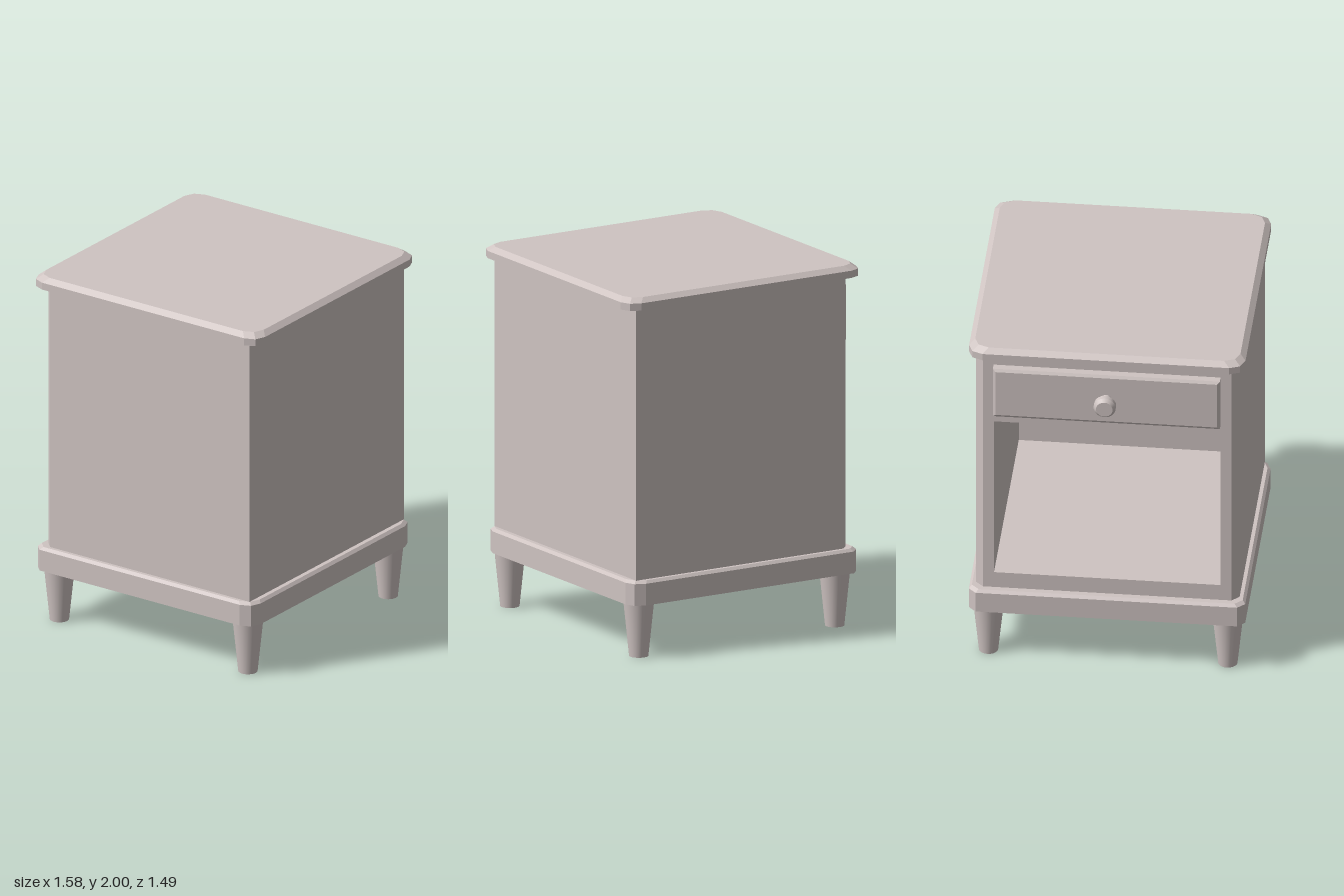
import * as THREE from 'three';

// Outline of a rectangle in x/z; rBack rounds the +x corners, rFront cuts the -x ones
function outline(x0, x1, zh, rBack, rFront, segBack, segFront) {
  const pts = [];
  const corners = [[x1, zh, 1, 1], [x0, zh, -1, 1], [x0, -zh, -1, -1], [x1, -zh, 1, -1]];
  corners.forEach(([x, z, sx, sz], k) => {
    const r = sx > 0 ? rBack : rFront;
    const seg = r === 0 ? 0 : (sx > 0 ? segBack : segFront);
    for (let i = 0; i <= seg; i++) {
      const a = (k + (seg ? i / seg : 0.5)) * Math.PI / 2;
      pts.push([x - sx * r + r * Math.cos(a), z - sz * r + r * Math.sin(a)]);
    }
  });
  return pts;
}

// Flat-faced wall through stacked outlines [{y, pts}], optionally closed with caps
function loft(rings, closed = true) {
  const pos = [];
  const put = (r, i) => {
    const p = r.pts[i % r.pts.length];
    pos.push(p[0], r.y, p[1]);
  };
  const n = rings[0].pts.length;
  for (let k = 0; k < rings.length - 1; k++) {
    const a = rings[k], b = rings[k + 1];
    for (let i = 0; i < (closed ? n : n - 1); i++) {
      put(a, i); put(b, i); put(b, i + 1);
      put(a, i); put(b, i + 1); put(a, i + 1);
    }
  }
  if (closed) {
    const lo = rings[0], hi = rings[rings.length - 1];
    for (let i = 1; i < n - 1; i++) {
      put(lo, 0); put(lo, i); put(lo, i + 1);
      put(hi, 0); put(hi, i + 1); put(hi, i);
    }
  }
  const g = new THREE.BufferGeometry();
  g.setAttribute('position', new THREE.Float32BufferAttribute(pos, 3));
  g.computeVertexNormals();
  return g;
}

// Slab with a chamfered upper rim
function slab(x0, x1, zh, y0, yEdge, y1, inset, corner) {
  const full = outline(x0, x1, zh, ...corner);
  const small = outline(x0 + inset, x1 - inset, zh - inset, ...corner);
  return loft([{ y: y0, pts: full }, { y: yEdge, pts: full }, { y: y1, pts: small }]);
}

export function createModel() {
  const group = new THREE.Group();
  const paint = new THREE.MeshStandardMaterial({ color: 0xcfc4c2 });
  paint.name = 'palePaint';
  const add = (name, geometry) => {
    const mesh = new THREE.Mesh(geometry, paint);
    mesh.name = name;
    group.add(mesh);
    return mesh;
  };

  // Table top and plinth
  add('tableTop', slab(-0.71, 0.785, 0.745, 1.935, 1.975, 2, 0.03, [0.08, 0.08, 2, 2]));
  add('plinth', slab(-0.685, 0.755, 0.745, 0.3, 0.42, 0.435, 0.015, [0.08, 0.04, 2, 1]));

  // Outer panels: sides and back, with chamfered edges beside the opening
  const panels = [[-0.64, -0.67], [-0.6, -0.71], [0.715, -0.71], [0.715, 0.71], [-0.6, 0.71], [-0.64, 0.67]];
  add('outerPanels', loft([{ y: 0.43, pts: panels }, { y: 1.94, pts: panels }], false));

  // Carcass: a block with the open shelf cut through it
  const face = new THREE.Shape();
  face.moveTo(-0.67, 0.43).lineTo(0.67, 0.43).lineTo(0.67, 1.94).lineTo(-0.67, 1.94).closePath();
  const opening = new THREE.Path();
  opening.moveTo(-0.61, 0.53).lineTo(-0.61, 1.5).lineTo(0.61, 1.5).lineTo(0.61, 0.53).closePath();
  face.holes.push(opening);
  const carcass = new THREE.ExtrudeGeometry(face, { depth: 1.29, bevelEnabled: false });
  carcass.rotateY(Math.PI / 2).translate(-0.64, 0, 0);
  add('shelfCarcass', carcass);
  add('shelfBack', new THREE.BoxGeometry(0.04, 1.1, 1.3).translate(0.67, 1.015, 0));

  // Drawer front, built upright and turned towards -x
  const drawer = slab(-0.1525, 0.1525, 0.612, 0.63, 0.68, 0.69, 0.015, [0, 0, 0, 0]);
  add('drawerFront', drawer.rotateZ(Math.PI / 2).translate(0, 1.7125, 0));

  // Turned knob
  const profile = [[0.03, 0.685], [0.028, 0.715], [0.06, 0.745], [0.06, 0.772], [0.045, 0.79], [0, 0.79]];
  const knob = [];
  // separate bands keep the turned edges crisp
  for (let i = 0; i < profile.length - 1; i++) {
    knob.push(new THREE.LatheGeometry(profile.slice(i, i + 2).map(p => new THREE.Vector2(...p)), 20));
  }
  const knobGroup = new THREE.Group();
  knobGroup.name = 'drawerKnob';
  knob.forEach((g, i) => {
    const band = new THREE.Mesh(g.rotateZ(Math.PI / 2).translate(0, 1.715, 0), paint);
    band.name = 'knobBand' + (i + 1);
    knobGroup.add(band);
  });
  group.add(knobGroup);

  // Tapered legs
  const leg = new THREE.CylinderGeometry(0.083, 0.052, 0.302, 20);
  for (const x of [-0.586, 0.658]) {
    for (const z of [-0.645, 0.645]) {
      add((x < 0 ? 'drawerSide' : 'wallSide') + (z < 0 ? 'BackLeg' : 'FrontLeg'), leg).position.set(x, 0.151, z);
    }
  }
  return group;
}
